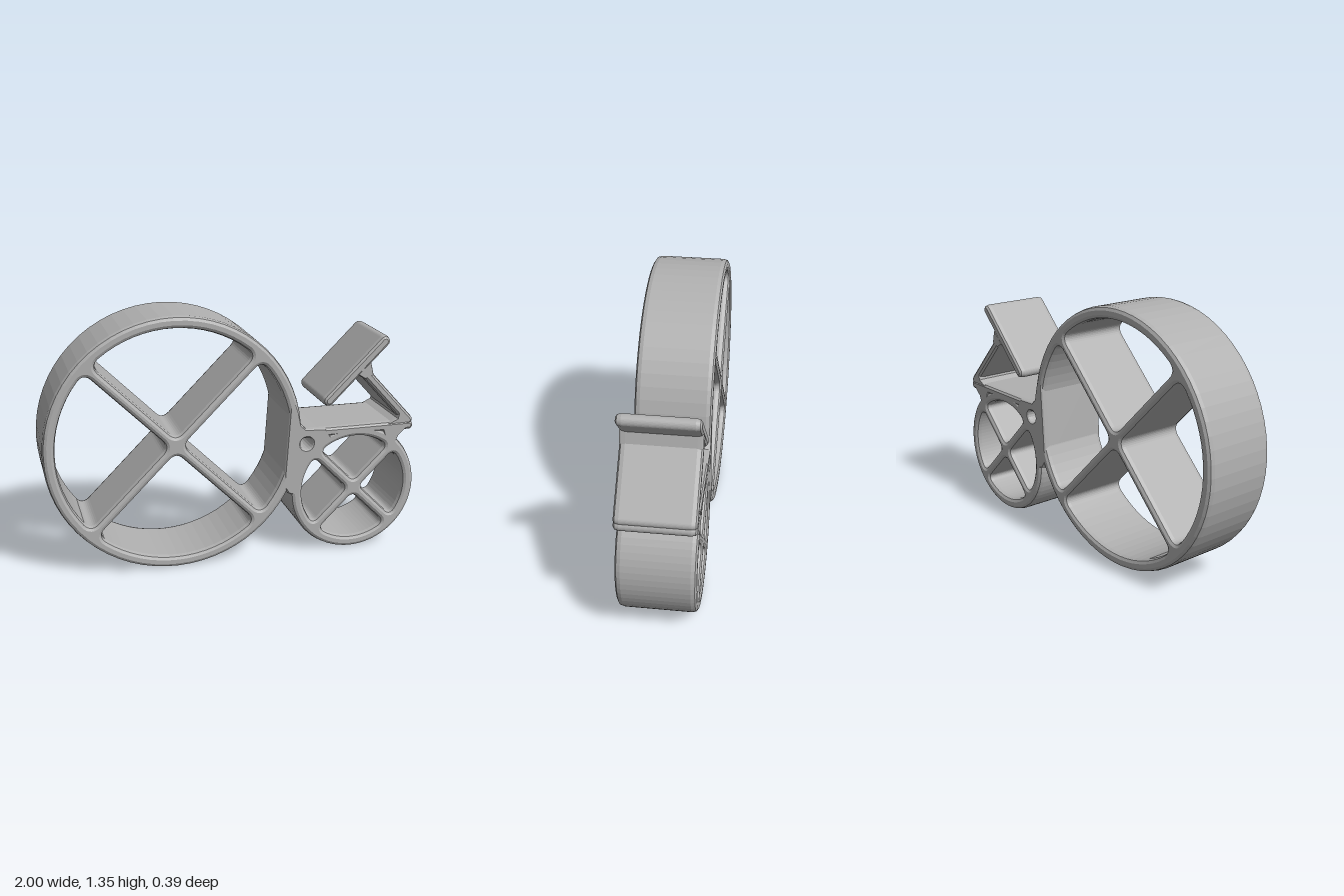
import * as THREE from 'three';

const DEPTH = 0.39;
const BEVEL = 0.028;

export function createModel() {
  const model = new THREE.Group();
  const grey = new THREE.MeshStandardMaterial({ color: 0xb0b0b0 });
  grey.name = 'grey';

  // Extrudes a flat outline along z with softened rims, kept inside the outline
  function slab(name, shape, rim = 0.016) {
    const geometry = new THREE.ExtrudeGeometry(shape, {
      depth: DEPTH - 2 * BEVEL,
      bevelThickness: BEVEL,
      bevelSize: rim,
      bevelOffset: -rim,
      bevelSegments: 2,
      curveSegments: 8,
    });
    geometry.translate(0, 0, -DEPTH / 2 + BEVEL);
    const mesh = new THREE.Mesh(geometry, grey);
    mesh.name = name;
    model.add(mesh);
    return mesh;
  }

  // Wheel: a ring with four rounded quarter openings that leave crossed spokes
  function wheel(name, x, y, outer, inner, half, fillet) {
    const shape = new THREE.Shape();
    shape.moveTo(outer, 0);
    for (let i = 0; i < 4; i++) {
      shape.absarc(0, 0, outer, i * Math.PI / 2, (i + 1) * Math.PI / 2, false);
    }
    const edge = Math.sqrt(inner * inner - half * half);
    const start = Math.asin((half + fillet) / inner);
    for (let i = 0; i < 4; i++) {
      const turn = Math.PI / 4 + i * Math.PI / 2;
      const at = (u, v) => [
        u * Math.cos(turn) - v * Math.sin(turn),
        u * Math.sin(turn) + v * Math.cos(turn),
      ];
      const a = inner * Math.cos(start), b = inner * Math.sin(start);
      const hole = new THREE.Path();
      hole.moveTo(...at(half + fillet, half));
      hole.lineTo(...at(edge - fillet, half));
      hole.quadraticCurveTo(...at(edge, half), ...at(a, b));
      hole.absarc(0, 0, inner, turn + start, turn + Math.PI / 2 - start, false);
      hole.quadraticCurveTo(...at(half, edge), ...at(half, edge - fillet));
      hole.lineTo(...at(half, half + fillet));
      hole.quadraticCurveTo(...at(half, half), ...at(half + fillet, half));
      shape.holes.push(hole);
    }
    slab(name, shape, 0.02).position.set(x, y, 0);
  }

  // Round-ended bar between two points
  function bar(name, x1, y1, x2, y2, width) {
    const length = Math.hypot(x2 - x1, y2 - y1), r = width / 2;
    const shape = new THREE.Shape();
    shape.moveTo(0, -r);
    shape.lineTo(length, -r);
    shape.absarc(length, 0, r, -Math.PI / 2, Math.PI / 2, false);
    shape.lineTo(0, r);
    shape.absarc(0, 0, r, Math.PI / 2, Math.PI * 1.5, false);
    const mesh = slab(name, shape);
    mesh.position.set(x1, y1, 0);
    mesh.rotation.z = Math.atan2(y2 - y1, x2 - x1);
  }

  const polygon = (points) =>
    new THREE.Shape(points.map(([x, y]) => new THREE.Vector2(x, y)));

  wheel('largeWheel', -0.325, 0.68, 0.675, 0.612, 0.026, 0.05);
  wheel('smallWheel', 0.648, 0.357, 0.352, 0.29, 0.027, 0.035);

  // Web joining both wheels and the frame, with its small round opening
  const web = polygon([
    [0.28, 0.87], [0.25, 0.4], [0.28, 0.355], [0.33, 0.34], [0.35, 0.45],
    [0.38, 0.52], [0.45, 0.59], [0.52, 0.65], [0.48, 0.71], [0.37, 0.715],
    [0.345, 0.74], [0.33, 0.81], [0.31, 0.87],
  ]);
  web.holes.push(new THREE.Path().absarc(0.376, 0.632, 0.034, 0, Math.PI * 2, true));
  slab('wheelWeb', web, 0.008);

  // Frame, post and slanted saddle
  bar('crossbar', 0.34, 0.685, 0.955, 0.685, 0.054);
  bar('seatPost', 0.68, 1.01, 0.95, 0.715, 0.054);
  bar('saddle', 0.495, 0.857, 0.795, 1.157, 0.06);

  // Small fillets where the bars meet
  slab('postFootFillet', polygon([[0.83, 0.7], [0.96, 0.7], [0.9, 0.79], [0.885, 0.73]]), 0.006);
  slab('saddleFillet', polygon([[0.645, 0.99], [0.69, 0.96], [0.74, 0.98], [0.72, 1.06]]), 0.006);
  slab('wheelTopFillet', polygon([[0.8, 0.69], [0.82, 0.62], [0.88, 0.585], [0.9, 0.63], [0.95, 0.68]]), 0.006);

  return model;
}
